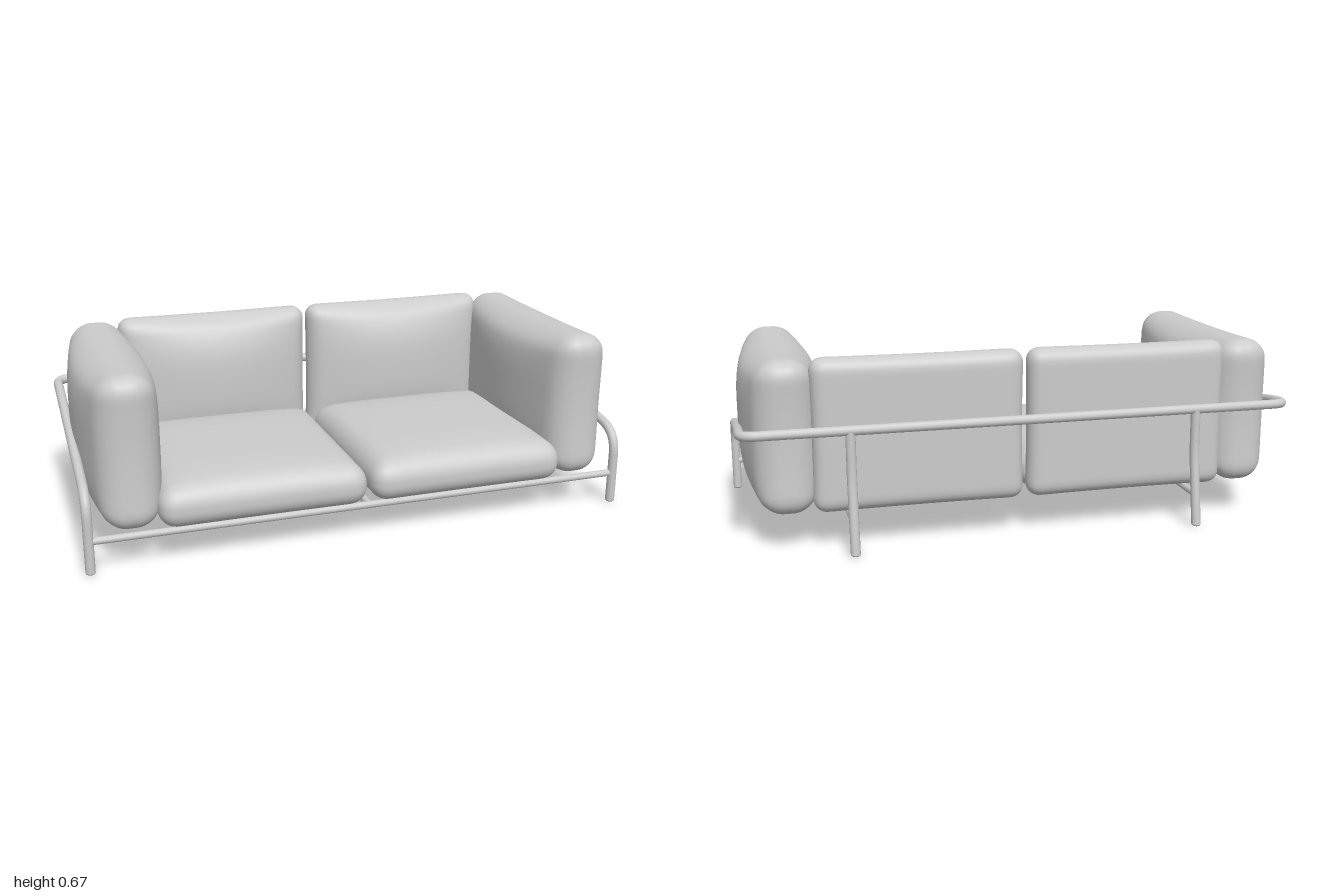
import * as THREE from 'three';
import { mergeVertices } from 'three/addons/utils/BufferGeometryUtils.js';

const material = new THREE.MeshStandardMaterial({ color: 0xcccccc });
const V = (x, y, z) => new THREE.Vector3(x, y, z);

function addMesh(parent, name, geometry) {
  const mesh = new THREE.Mesh(geometry, material);
  mesh.name = name;
  parent.add(mesh);
  return mesh;
}

// Rounded box between two corners, swollen along one axis and pinched at mid-edge on the others
function cushion(parent, name, min, max, { radius, axis, plus, minus, pinch, powers }) {
  const N = 28;
  const half = max.map((m, i) => (m - min[i]) / 2);
  const centre = max.map((m, i) => (m + min[i]) / 2);
  const [a, b] = [0, 1, 2].filter((i) => i !== axis);
  let geometry = new THREE.BoxGeometry(2, 2, 2, N, N, N);
  geometry.deleteAttribute('uv');
  geometry.deleteAttribute('normal');
  geometry = mergeVertices(geometry);
  const pos = geometry.attributes.position;
  for (let i = 0; i < pos.count; i++) {
    // crowd the grid towards the edges, then round them
    const p = [pos.getX(i), pos.getY(i), pos.getZ(i)].map((u, k) => Math.sin(u * Math.PI / 2) * half[k]);
    const inner = p.map((v, k) => THREE.MathUtils.clamp(v, radius - half[k], half[k] - radius));
    const d = V(...p.map((v, k) => v - inner[k])).setLength(radius).toArray();
    const q = inner.map((v, k) => v + d[k]);
    const u = Math.min(1, Math.abs(q[a] / half[a]));
    const v = Math.min(1, Math.abs(q[b] / half[b]));
    const t = q[axis] / half[axis];
    q[axis] += t * (t > 0 ? plus : minus) * (1 - u ** powers[0]) * (1 - v ** powers[1]);
    q[a] *= 1 - pinch * (1 - v * v);
    q[b] *= 1 - pinch * (1 - u * u);
    pos.setXYZ(i, q[0] + centre[0], q[1] + centre[1], q[2] + centre[2]);
  }
  geometry.computeVertexNormals();
  return addMesh(parent, name, geometry);
}

// Tube along straight runs, with each inner corner rounded by its own bend length
function pipe(parent, name, points, bends, radius, segments) {
  const path = new THREE.CurvePath();
  let from = points[0];
  for (let i = 1; i < points.length - 1; i++) {
    const corner = points[i];
    const start = corner.clone().add(points[i - 1].clone().sub(corner).setLength(bends[i - 1]));
    const end = corner.clone().add(points[i + 1].clone().sub(corner).setLength(bends[i - 1]));
    path.add(new THREE.LineCurve3(from, start));
    path.add(new THREE.QuadraticBezierCurve3(start, corner, end));
    from = end;
  }
  path.add(new THREE.LineCurve3(from, points[points.length - 1]));
  return addMesh(parent, name, new THREE.TubeGeometry(path, segments, radius, 14, false));
}

// Softly rounded end of a leg
function foot(parent, x, z, radius) {
  const tip = addMesh(parent, 'footTip', new THREE.SphereGeometry(radius, 14, 8));
  tip.scale.y = 0.5;
  tip.position.set(x, radius * 0.5, z);
}

export function createModel() {
  const sofa = new THREE.Group();
  sofa.name = 'sofa';
  const frame = new THREE.Group();
  frame.name = 'frame';
  sofa.add(frame);
  const R = 0.017, r = 0.013, railY = 0.118;

  // One continuous tube: front legs, sloping arm rails and back rail
  const side = (s) => [
    V(s * 0.98, 0.009, 0.435), V(s * 0.98, 0.278, 0.435),
    V(s * 0.98, 0.42, -0.31), V(s * 0.98, 0.428, -0.42),
  ];
  pipe(frame, 'legArmAndBackRail', [...side(-1), ...side(1).reverse()],
    [0.085, 0.045, 0.06, 0.06, 0.045, 0.085], R, 420);

  // Lower rails under the seat
  pipe(frame, 'frontRail', [V(-0.98, railY, 0.433), V(0.98, railY, 0.433)], [], r, 2);
  pipe(frame, 'middleRail', [V(0, railY, 0.433), V(0, railY, -0.28)], [], r, 2);

  for (const s of [-1, 1]) {
    // Bent back legs and the rails that join them to the front
    pipe(frame, 'backLeg', [V(s * 0.62, 0.428, -0.42), V(s * 0.62, 0.27, -0.422), V(s * 0.62, 0.009, -0.463)],
      [0.05], R, 40);
    pipe(frame, 'sideRail', [V(s * 0.62, railY, 0.433), V(s * 0.62, railY, -0.442)], [], r, 2);
    foot(frame, s * 0.98, 0.435, R);
    foot(frame, s * 0.62, -0.463, R);

    // Cushions on each half
    const inX = 0.006, outX = 0.746;
    const spanX = s > 0 ? [inX, outX] : [-outX, -inX];
    cushion(sofa, 'seatCushion', [spanX[0], 0.126, -0.28], [spanX[1], 0.268, 0.477],
      { radius: 0.065, axis: 1, plus: 0.032, minus: 0, pinch: 0.008, powers: [4, 4] });
    cushion(sofa, 'backCushion', [spanX[0], 0.13, -0.4], [spanX[1], 0.667, -0.295],
      { radius: 0.05, axis: 2, plus: 0.075, minus: 0, pinch: 0.012, powers: [2, 3] });
    const armX = s > 0 ? [0.738, 0.918] : [-0.918, -0.738];
    cushion(sofa, 'armCushion', [armX[0], 0.126, -0.4], [armX[1], 0.664, 0.453],
      { radius: 0.075, axis: 0, plus: 0.055, minus: 0.055, pinch: 0.03, powers: [4, 2] });
  }
  return sofa;
}
